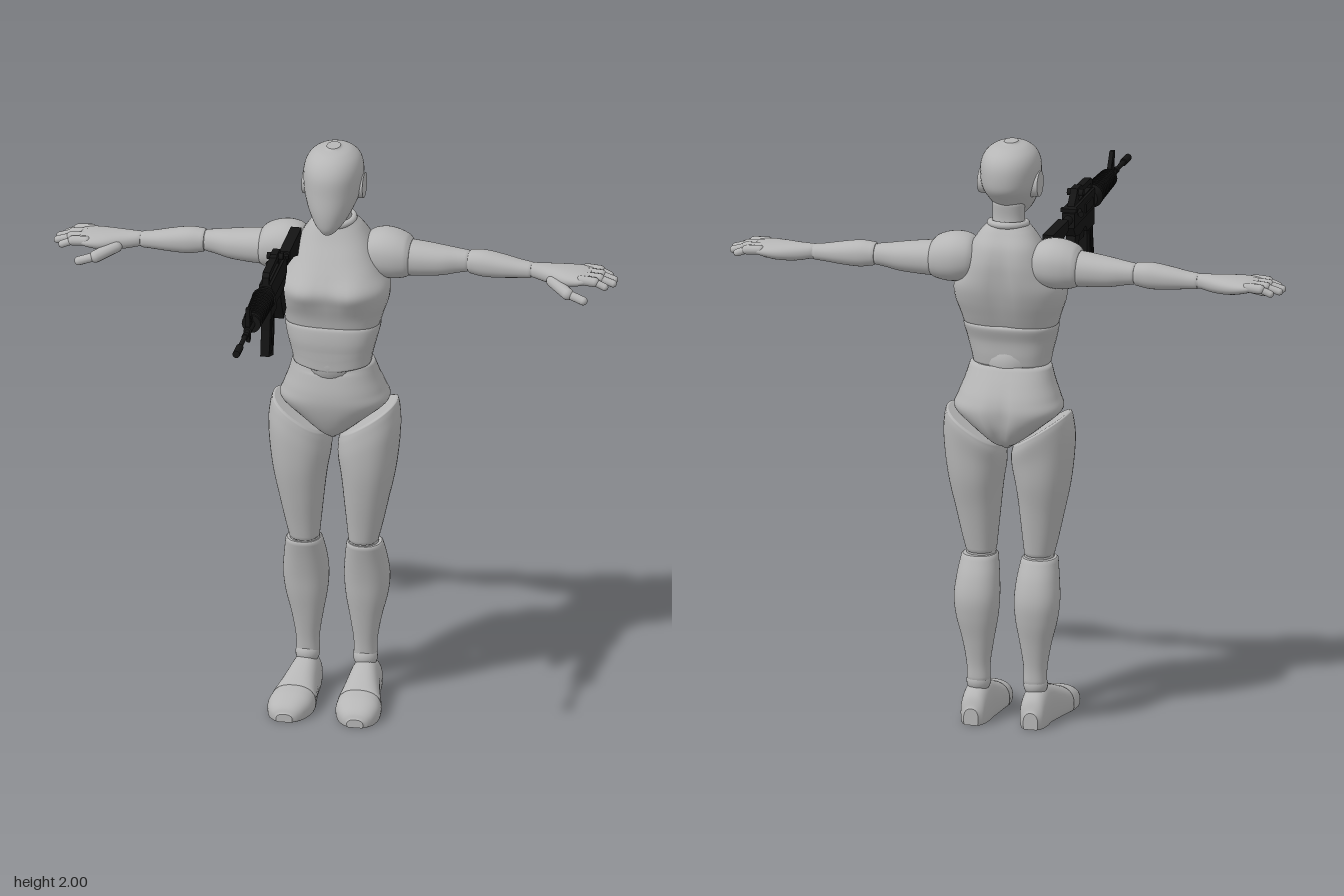
import * as THREE from 'three';
import { mergeGeometries } from 'three/addons/utils/BufferGeometryUtils.js';

const skin = new THREE.MeshStandardMaterial({ color: 0xb6b6b6 });
skin.name = 'mannequin grey';
const gunmetal = new THREE.MeshStandardMaterial({ color: 0x141414 });
gunmetal.name = 'gunmetal black';

// Smooth closed body from cross-sections [t, a0, a1, b0, b1] along an axis:
// y: a = x, b = z.   x: a = y, b = z.   z: a = x, b = y.
function loft(rows, axis = 'y', deform = null, power = 2.2) {
  const N = 40;
  const A = new THREE.CatmullRomCurve3(rows.map(r => new THREE.Vector3(r[0], r[1], r[2])), false, 'catmullrom');
  const B = new THREE.CatmullRomCurve3(rows.map(r => new THREE.Vector3(r[3], r[4], 0)), false, 'catmullrom');
  const steps = (rows.length - 1) * 6;
  const rings = [];
  for (let i = 0; i <= steps; i++) {
    const p = A.getPoint(i / steps), q = B.getPoint(i / steps);
    rings.push({ t: p.x, ca: (p.y + p.z) / 2, ra: Math.abs(p.z - p.y) / 2, cb: (q.x + q.y) / 2, rb: Math.abs(q.y - q.x) / 2 });
  }
  // small bevel at both ends
  const bevel = (r, dt) => ({ ...r, t: r.t + dt, ra: r.ra * 0.92, rb: r.rb * 0.92 });
  rings.unshift(bevel(rings[0], -0.004));
  rings.push(bevel(rings[rings.length - 1], 0.004));
  const pos = [], idx = [];
  const add = (t, a, b) => {
    const v = axis === 'y' ? new THREE.Vector3(a, t, b) : axis === 'x' ? new THREE.Vector3(t, a, b) : new THREE.Vector3(a, b, t);
    if (deform) deform(v);
    return pos.push(v.x, v.y, v.z) / 3 - 1;
  };
  const tri = (a, b, c) => (axis === 'y' ? idx.push(a, b, c) : idx.push(a, c, b));
  const sp = v => Math.sign(v) * Math.pow(Math.abs(v), 2 / power);
  const ring = r => {
    let first = -1;
    for (let j = 0; j < N; j++) {
      const th = (j / N) * Math.PI * 2;
      const k = add(r.t, r.ca + r.ra * sp(Math.cos(th)), r.cb + r.rb * sp(Math.sin(th)));
      if (j === 0) first = k;
    }
    return first;
  };
  const starts = rings.map(ring);
  for (let i = 0; i < starts.length - 1; i++) for (let j = 0; j < N; j++) {
    const a = starts[i] + j, b = starts[i] + (j + 1) % N, c = starts[i + 1] + j, d = starts[i + 1] + (j + 1) % N;
    tri(a, c, b); tri(b, c, d);
  }
  for (const [r, top] of [[rings[0], false], [rings[rings.length - 1], true]]) {
    const s = ring(r), m = add(r.t, r.ca, r.cb);
    for (let j = 0; j < N; j++) {
      const a = s + j, b = s + (j + 1) % N;
      if (top) tri(m, b, a); else tri(m, a, b);
    }
  }
  const g = new THREE.BufferGeometry();
  g.setAttribute('position', new THREE.Float32BufferAttribute(pos, 3));
  g.setIndex(idx);
  g.computeVertexNormals();
  return g;
}

// Rows for parts centred on x: [y, halfWidth, zFront, zBack]
const centred = rows => rows.map(([y, h, f, b]) => [y, -h, h, b, f]);
const bump = (d, w) => Math.exp(-(d * d) / (w * w));

function mirror(geo) {
  const g = geo.clone().scale(-1, 1, 1), ix = g.index.array;
  for (let i = 0; i < ix.length; i += 3) [ix[i + 1], ix[i + 2]] = [ix[i + 2], ix[i + 1]];
  return g;
}

function ball(r, x, y, z) {
  return new THREE.SphereGeometry(r, 24, 16).translate(x, y, z);
}

// Chain of capsules through points, thinning towards the tip
function digit(points, r0, r1) {
  const p = points.map(q => new THREE.Vector3(...q));
  return mergeGeometries(p.slice(1).map((b, i) => {
    const a = p[i], d = b.clone().sub(a), r = r0 + (r1 - r0) * i / (p.length - 2);
    const q = new THREE.Quaternion().setFromUnitVectors(new THREE.Vector3(0, 1, 0), d.clone().normalize());
    return new THREE.CapsuleGeometry(r, d.length(), 6, 12).applyQuaternion(q).translate(...a.clone().add(b).multiplyScalar(0.5).toArray());
  }));
}

function buildBody(group) {
  const add = (name, geo) => { const m = new THREE.Mesh(geo, skin); m.name = name; group.add(m); };
  const pair = (name, geo) => { add('left' + name, geo); add('right' + name, mirror(geo)); };

  // Head, with the jaw rising towards the nape
  add('head', loft(centred([[1.722, .035, -.298, -.46], [1.75, .06, -.285, -.50], [1.80, .082, -.28, -.53], [1.86, .096, -.285, -.55],
    [1.92, .099, -.292, -.552], [1.96, .087, -.313, -.535], [1.985, .06, -.345, -.50], [1.996, .025, -.385, -.455]]), 'y',
    v => { v.y += 0.25 * (-.29 - v.z) * (1 - THREE.MathUtils.smoothstep(v.y, 1.72, 1.88)); }, 2.1));
  pair('Ear', new THREE.CylinderGeometry(.043, .046, .03, 32).rotateZ(-Math.PI / 2).translate(.088, 1.86, -.43));
  add('neck', loft(centred([[1.68, .06, -.40, -.51], [1.74, .054, -.405, -.495], [1.80, .054, -.405, -.50]])));
  add('collar', new THREE.TorusGeometry(.06, .012, 12, 40).rotateX(Math.PI / 2 + .1).translate(0, 1.725, -.455));

  // Torso
  add('chest', loft(centred([[1.375, .16, -.315, -.515], [1.41, .17, -.308, -.53], [1.46, .186, -.295, -.55], [1.51, .188, -.288, -.565],
    [1.56, .163, -.31, -.572], [1.61, .14, -.34, -.572], [1.66, .118, -.372, -.56], [1.70, .092, -.392, -.535], [1.722, .072, -.40, -.52]]), 'y',
    v => {
      if (v.z > -.42) v.z += .02 * bump(Math.abs(v.x) - .085, .06) * bump(v.y - 1.505, .055);
      else v.z += .014 * bump(v.x, .03) * bump(v.y - 1.54, .12);
    }, 2.5));
  add('abdomen', loft(centred([[1.235, .13, -.312, -.495], [1.27, .137, -.31, -.50], [1.32, .15, -.305, -.505], [1.365, .16, -.308, -.52], [1.38, .155, -.315, -.515]]), 'y',
    v => { v.y -= .014 * bump(v.x, .08) * (v.y < 1.28 ? 1 : 0) * (v.z > -.4 ? 1 : 0); }, 2.5));
  add('waistJoint', ball(.1, 0, 1.24, -.41));
  add('pelvis', loft(centred([[.955, .015, -.39, -.50], [.98, .055, -.355, -.545], [1.03, .12, -.328, -.575], [1.085, .182, -.312, -.583],
    [1.13, .172, -.31, -.572], [1.18, .153, -.318, -.545], [1.232, .138, -.33, -.512]]), 'y',
    v => {
      if (v.z < -.46) v.z += .022 * bump(v.x, .018) * bump(v.y - 1.04, .09);
      else if (v.y > 1.21) v.y -= .014 * bump(v.x, .08);
    }, 2.3));

  // Legs; thigh tops slant up towards the hip
  pair('Thigh', loft([[.58, .05, .15, -.485, -.37], [.64, .044, .165, -.497, -.36], [.74, .034, .187, -.517, -.342], [.84, .024, .21, -.54, -.328],
    [.93, .014, .222, -.552, -.325], [.99, .013, .217, -.562, -.33], [1.02, .02, .21, -.562, -.335]], 'y',
    v => { v.y += .65 * (v.x - .115) * THREE.MathUtils.smoothstep(v.y, .75, 1.02); }));
  pair('Knee', ball(.05, .1, .572, -.43));
  pair('Shin', loft([[.145, .058, .136, -.51, -.437], [.20, .058, .138, -.512, -.432], [.28, .046, .152, -.525, -.42], [.36, .032, .172, -.541, -.407],
    [.43, .027, .18, -.546, -.398], [.50, .032, .174, -.53, -.385], [.565, .042, .164, -.50, -.37]]));
  pair('Ankle', ball(.041, .098, .135, -.47));
  const floor = v => { v.y = Math.max(v.y, 0); };
  pair('Foot', loft([[-.55, .075, .13, -.02, .06], [-.53, .06, .144, -.03, .098], [-.49, .053, .15, -.04, .125], [-.44, .05, .153, -.04, .13],
    [-.37, .044, .168, -.04, .11], [-.305, .036, .186, -.035, .087]], 'z', floor, 2.4));
  pair('Toes', loft([[-.298, .036, .187, -.035, .084], [-.25, .04, .19, -.03, .076], [-.21, .058, .18, -.025, .06], [-.19, .075, .165, -.018, .046], [-.18, .09, .15, -.01, .03]], 'z', floor, 2.4));

  // Arms stretched sideways
  pair('Shoulder', loft([[.095, 1.56, 1.65, -.535, -.425], [.12, 1.535, 1.677, -.555, -.40], [.16, 1.522, 1.687, -.565, -.39],
    [.20, 1.52, 1.683, -.563, -.39], [.235, 1.526, 1.67, -.553, -.397], [.25, 1.533, 1.657, -.546, -.404]], 'x'));
  pair('UpperArm', loft([[.252, 1.533, 1.65, -.542, -.41], [.30, 1.535, 1.645, -.54, -.415], [.36, 1.54, 1.637, -.535, -.425], [.41, 1.55, 1.63, -.527, -.44], [.442, 1.555, 1.626, -.522, -.448]], 'x'));
  pair('Elbow', ball(.034, .447, 1.59, -.484));
  pair('Forearm', loft([[.452, 1.552, 1.629, -.524, -.443], [.50, 1.544, 1.632, -.528, -.437], [.56, 1.546, 1.623, -.524, -.437], [.62, 1.551, 1.611, -.514, -.442], [.657, 1.553, 1.606, -.508, -.446]], 'x'));
  pair('Wrist', ball(.025, .662, 1.58, -.477));
  pair('Palm', loft([[.668, 1.556, 1.605, -.503, -.448], [.72, 1.546, 1.605, -.518, -.43], [.78, 1.545, 1.604, -.533, -.404], [.83, 1.555, 1.601, -.537, -.395], [.86, 1.565, 1.596, -.53, -.402]], 'x'));
  [['LittleFinger', -.518, .918], ['RingFinger', -.484, .94], ['MiddleFinger', -.45, .942], ['IndexFinger', -.416, .92]].forEach(([name, z, tip]) =>
    pair(name, digit([[.84, 1.583, z], [(tip + .85) / 2, 1.58, z], [tip, 1.566, z + .003]], .0165, .0125)));
  pair('Thumb', digit([[.74, 1.565, -.43], [.80, 1.543, -.385], [.855, 1.528, -.372]], .021, .015));
}

function buildRifle(group) {
  const X = -.13;
  const add = (name, geo) => { const m = new THREE.Mesh(geo, gunmetal); m.name = name; group.add(m); };
  // Side profile in [z, y], extruded across x
  const plate = (name, pts, width, hole, dx = 0) => {
    const s = new THREE.Shape(pts.map(p => new THREE.Vector2(...p)));
    if (hole) s.holes.push(new THREE.Path(hole.map(p => new THREE.Vector2(...p))));
    add(name, new THREE.ExtrudeGeometry(s, { depth: width, bevelEnabled: false }).translate(0, 0, -width / 2).rotateY(-Math.PI / 2).translate(X + dx, 0, 0));
  };
  const rod = (name, z0, z1, y, r0, r1 = r0, dx = 0) =>
    add(name, new THREE.CylinderGeometry(r1, r0, z1 - z0, 16).rotateX(Math.PI / 2).translate(X + dx, y, (z0 + z1) / 2));

  // Barrel and front sight
  rod('barrel', .3, .57, 1.66, .008);
  rod('muzzle', .525, .587, 1.66, .0125);
  rod('barrelStep', .42, .44, 1.66, .011);
  rod('gasBlock', .335, .395, 1.662, .014);
  plate('frontSight', [[.39, 1.665], [.392, 1.742], [.376, 1.742], [.335, 1.675], [.335, 1.665]], .014, [[.38, 1.678], [.381, 1.72], [.354, 1.678]]);
  plate('slingLug', [[.39, 1.65], [.385, 1.618], [.37, 1.618], [.362, 1.65]], .012);

  // Ribbed handguard
  rod('handguard', .12, .325, 1.662, .035, .029);
  for (let i = 0; i < 9; i++) rod('handguardRib', .135 + i * .02, .145 + i * .02, 1.662, .039 - i * .0007);
  rod('handguardCap', .322, .332, 1.662, .032);
  rod('slipRing', .085, .12, 1.662, .031, .041);

  // Receiver and carrying handle
  plate('upperReceiver', [[.09, 1.635], [.09, 1.70], [-.15, 1.70], [-.175, 1.685], [-.175, 1.635]], .042);
  plate('lowerReceiver', [[.088, 1.64], [.088, 1.575], [.0, 1.575], [-.02, 1.60], [-.09, 1.59], [-.15, 1.60], [-.178, 1.635], [-.178, 1.66]], .038);
  plate('carryingHandle', [[.09, 1.695], [.09, 1.725], [.075, 1.738], [-.04, 1.742], [-.05, 1.75], [-.10, 1.75], [-.11, 1.735], [-.135, 1.71], [-.145, 1.695]], .024,
    [[.072, 1.704], [.068, 1.72], [-.07, 1.722], [-.085, 1.704]]);
  add('sightKnob', new THREE.CylinderGeometry(.012, .012, .055, 14).rotateZ(Math.PI / 2).translate(X, 1.732, -.08));
  plate('ejectionCover', [[.05, 1.65], [.05, 1.68], [-.04, 1.68], [-.04, 1.65]], .006, null, -.023);
  add('forwardAssist', new THREE.CylinderGeometry(.01, .01, .05, 12).rotateX(Math.PI / 2).rotateY(.45).translate(X - .025, 1.675, -.12));
  add('chargingHandle', new THREE.BoxGeometry(.055, .012, .018).translate(X, 1.694, -.165));

  // Magazine, trigger and grip
  plate('magazine', [[.083, 1.60], [.088, 1.53], [.103, 1.445], [.03, 1.422], [.012, 1.50], [.004, 1.60]], .03);
  for (const z of [.035, .06]) plate('magazineRib', [[z, 1.57], [z + .017, 1.45], [z + .025, 1.45], [z + .008, 1.57]], .036);
  plate('triggerGuard', [[.004, 1.59], [-.004, 1.557], [-.065, 1.557], [-.085, 1.59]], .014, [[-.004, 1.592], [-.01, 1.565], [-.06, 1.565], [-.074, 1.592]]);
  plate('trigger', [[-.03, 1.60], [-.034, 1.57], [-.028, 1.57], [-.02, 1.60]], .008);
  plate('grip', [[-.082, 1.60], [-.10, 1.555], [-.135, 1.497], [-.145, 1.478], [-.187, 1.50], [-.155, 1.565], [-.14, 1.60]], .032);

  // Stock
  rod('bufferTube', -.36, -.17, 1.662, .016);
  plate('stock', [[-.235, 1.682], [-.235, 1.645], [-.30, 1.635], [-.36, 1.615], [-.43, 1.59], [-.435, 1.685]], .036);
  plate('stockLever', [[-.235, 1.648], [-.24, 1.63], [-.275, 1.625], [-.29, 1.64]], .018);
}

export function createModel() {
  const model = new THREE.Group();
  model.name = 'mannequinWithRifle';
  const body = new THREE.Group(), rifle = new THREE.Group();
  body.name = 'mannequin';
  rifle.name = 'rifle';
  buildBody(body);
  buildRifle(rifle);
  model.add(body, rifle);
  return model;
}
